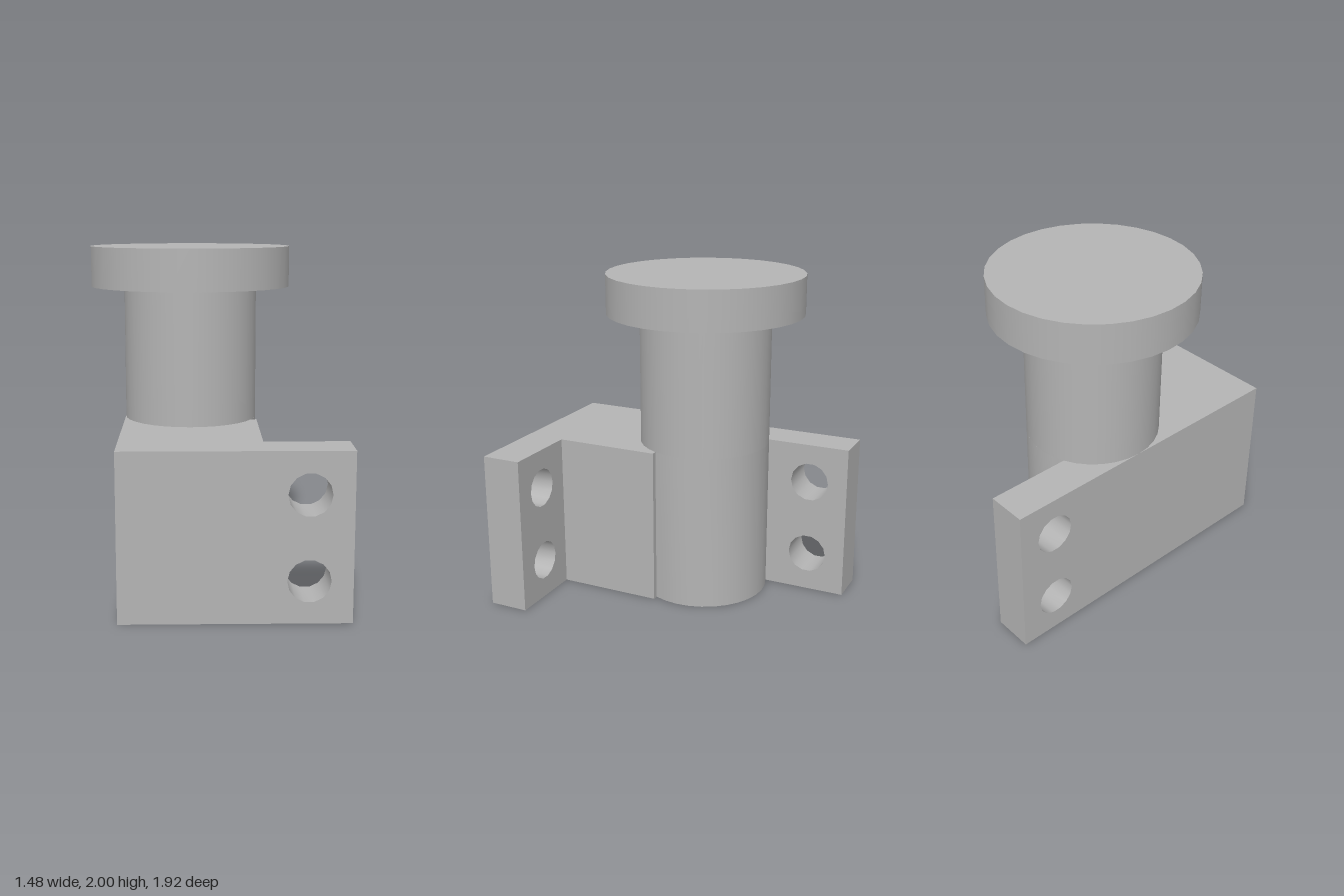
import * as THREE from 'three';
import { toCreasedNormals } from 'three/addons/utils/BufferGeometryUtils.js';

export function createModel() {
  const group = new THREE.Group();
  const grey = new THREE.MeshStandardMaterial({ color: 0xb4b4b4 });
  grey.name = 'machined grey';

  const height = 0.96, thickness = 0.24;
  const axisX = -0.14, axisZ = -0.08, shaftRadius = 0.4;

  const add = (name, geometry) => {
    const mesh = new THREE.Mesh(geometry, grey);
    mesh.name = name;
    group.add(mesh);
  };
  const extrude = (shape, depth, curveSegments) =>
    new THREE.ExtrudeGeometry(shape, { depth, curveSegments, bevelEnabled: false });

  // Upright plate with two bolt holes, drawn between u0 and u1
  const drilledPlate = (u0, u1, holeU) => {
    const shape = new THREE.Shape([
      new THREE.Vector2(u0, 0), new THREE.Vector2(u1, 0),
      new THREE.Vector2(u1, height), new THREE.Vector2(u0, height),
    ]);
    for (const y of [0.24, 0.72]) {
      shape.holes.push(new THREE.Path().absarc(holeU, y, 0.12, 0, Math.PI * 2, true));
    }
    return extrude(shape, thickness, 7);
  };

  // Upright disc or column on the shaft axis
  const column = (radius, y0, y1) =>
    new THREE.CylinderGeometry(radius, radius, y1 - y0, 32).translate(axisX, (y0 + y1) / 2, axisZ);

  // Bracket core: block merged with the lower end of the shaft (plan drawn with y = -z)
  const a = Math.asin(0.4);
  const plan = new THREE.Shape();
  plan.moveTo(-0.54, -0.96);
  plan.lineTo(0.26, -0.96);
  plan.lineTo(0.26, -0.08);
  plan.absarc(axisX, -axisZ, shaftRadius, -a, Math.PI / 2 + a, false);
  plan.lineTo(-0.3, 0.48);
  plan.lineTo(-0.54, 0.48);
  plan.closePath();
  add('bracketCore', toCreasedNormals(extrude(plan, height, 6).rotateX(-Math.PI / 2), 0.7));

  // Mounting tabs
  add('frontTab', toCreasedNormals(drilledPlate(0.26, 0.74, 0.5).translate(0, 0, 0.72), 0.7));
  add('backTab', toCreasedNormals(
    drilledPlate(-0.96, -0.48, -0.72).rotateY(-Math.PI / 2).translate(-0.3, 0, 0), 0.7));

  // Shaft and its flanged head
  add('shaft', column(shaftRadius, height, 1.76));
  add('head', column(0.6, 1.76, 2));

  return group;
}
